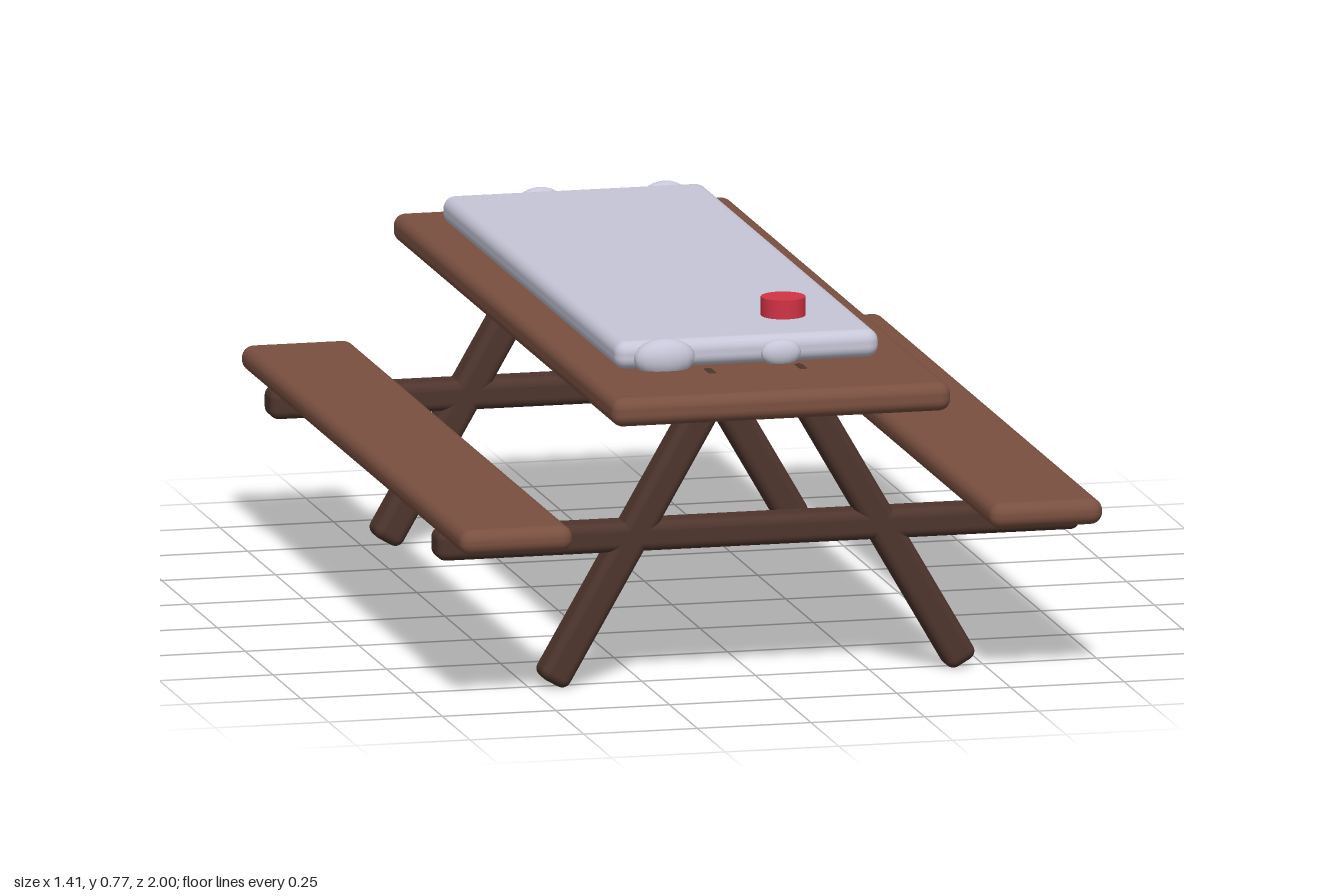
import * as THREE from 'three';
import { RoundedBoxGeometry } from 'three/addons/geometries/RoundedBoxGeometry.js';

const mat = (name, color) => {
  const m = new THREE.MeshStandardMaterial({ color });
  m.name = name;
  return m;
};

export function createModel() {
  const wood = mat('brown wood', 0x7a5040);
  const darkWood = mat('dark wood', 0x4e352d);
  const cloth = mat('pale cloth', 0xc6c6d8);
  const red = mat('red', 0xd23345);

  const model = new THREE.Group();
  model.name = 'picnicTable';
  const add = (name, geometry, material, x, y, z) => {
    const mesh = new THREE.Mesh(geometry, material);
    mesh.name = name;
    mesh.position.set(x, y, z);
    model.add(mesh);
    return mesh;
  };
  const slab = (w, h, d, r) => new RoundedBoxGeometry(w, h, d, 4, r);

  // Top and benches
  add('tableTop', slab(0.745, 0.062, 2, 0.025), wood, 0, 0.639, 0);
  for (const s of [-1, 1]) {
    add('bench', slab(0.248, 0.056, 2, 0.026), wood, s * 0.583, 0.371, 0);
  }

  // Crossbeams and splayed legs; the leg tops just break the tabletop
  for (const z of [-0.75, 0.75]) {
    add('crossbeam', slab(1.414, 0.065, 0.08, 0.02), darkWood, 0, 0.322, z);
    for (const s of [-1, 1]) {
      const leg = add('leg', slab(0.07, 0.753, 0.08, 0.02), darkWood, s * 0.265, 0.336, z);
      leg.rotation.z = s * Math.PI / 6;
    }
  }

  // Padded cloth with gathered lumps at both ends
  add('cloth', slab(0.58, 0.062, 1.58, 0.026), cloth, -0.003, 0.698, -0.09);
  const lumps = [
    [-0.19, 0.694, 0.707, 0.067, 0.043, 0.034],
    [0.067, 0.692, 0.705, 0.044, 0.029, 0.019],
    [-0.075, 0.698, -0.882, 0.052, 0.036, 0.024],
    [0.2, 0.698, -0.882, 0.052, 0.036, 0.024],
  ];
  for (const [x, y, z, rx, ry, rz] of lumps) {
    add('clothLump', new THREE.SphereGeometry(1, 16, 12), cloth, x, y, z).scale.set(rx, ry, rz);
  }

  // Small red cup
  add('cup', new THREE.CylinderGeometry(0.048, 0.048, 0.05, 24), red, 0.123, 0.745, 0.497);

  return model;
}
